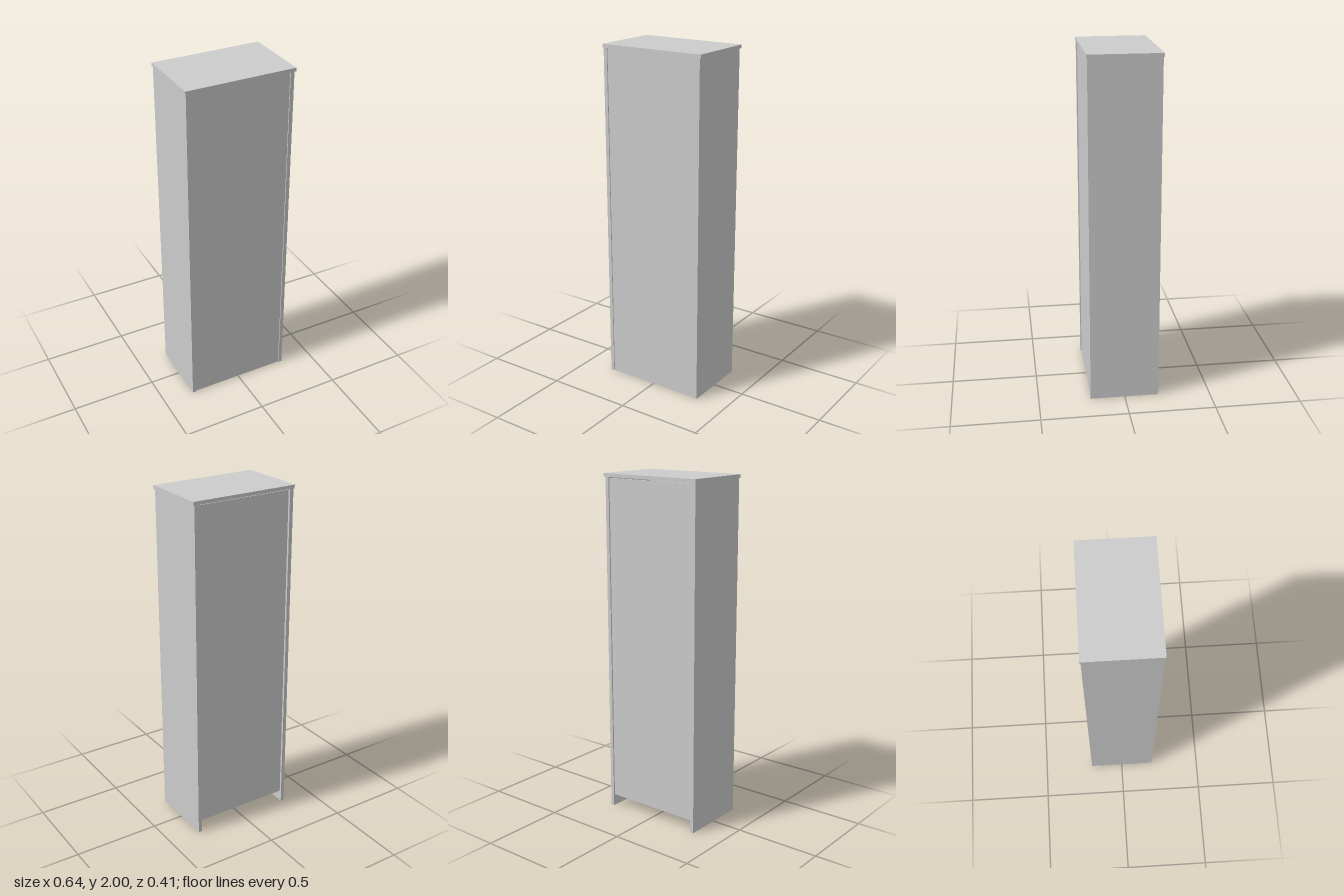
import * as THREE from 'three';

export function createModel() {
  const group = new THREE.Group();
  const material = new THREE.MeshStandardMaterial({ color: 0xcccccc });

  // Adds a board from its lower and upper corners
  function board(name, [x0, y0, z0], [x1, y1, z1]) {
    const mesh = new THREE.Mesh(new THREE.BoxGeometry(x1 - x0, y1 - y0, z1 - z0), material);
    mesh.position.set((x0 + x1) / 2, (y0 + y1) / 2, (z0 + z1) / 2);
    mesh.name = name;
    group.add(mesh);
  }

  const under = 1.98; // underside of the top
  const left = 0.311, right = -0.315, thick = 0.022;
  const inL = left - thick, inR = right + thick;
  const front = 0.2, back = -0.199;

  // Overhanging top
  board('topBoard', [-0.319, under, -0.204], [0.319, 2, 0.204]);

  // Side panels reach the floor
  board('leftSide', [inL, 0, back], [left, under, front]);
  board('rightSide', [right, 0, back], [inR, under, front]);

  // Front panel, slightly set back between the sides
  board('frontPanel', [inR, 0, front - 0.026], [inL, under - 0.002, front - 0.006]);

  // Back panel, stopping above the floor
  board('backPanel', [inR + 0.004, 0.07, back + 0.008], [inL, under - 0.006, back + 0.02]);

  // Raised bottom shelf
  board('bottomShelf', [inR, 0.07, back + 0.02], [inL, 0.092, front - 0.026]);

  return group;
}
